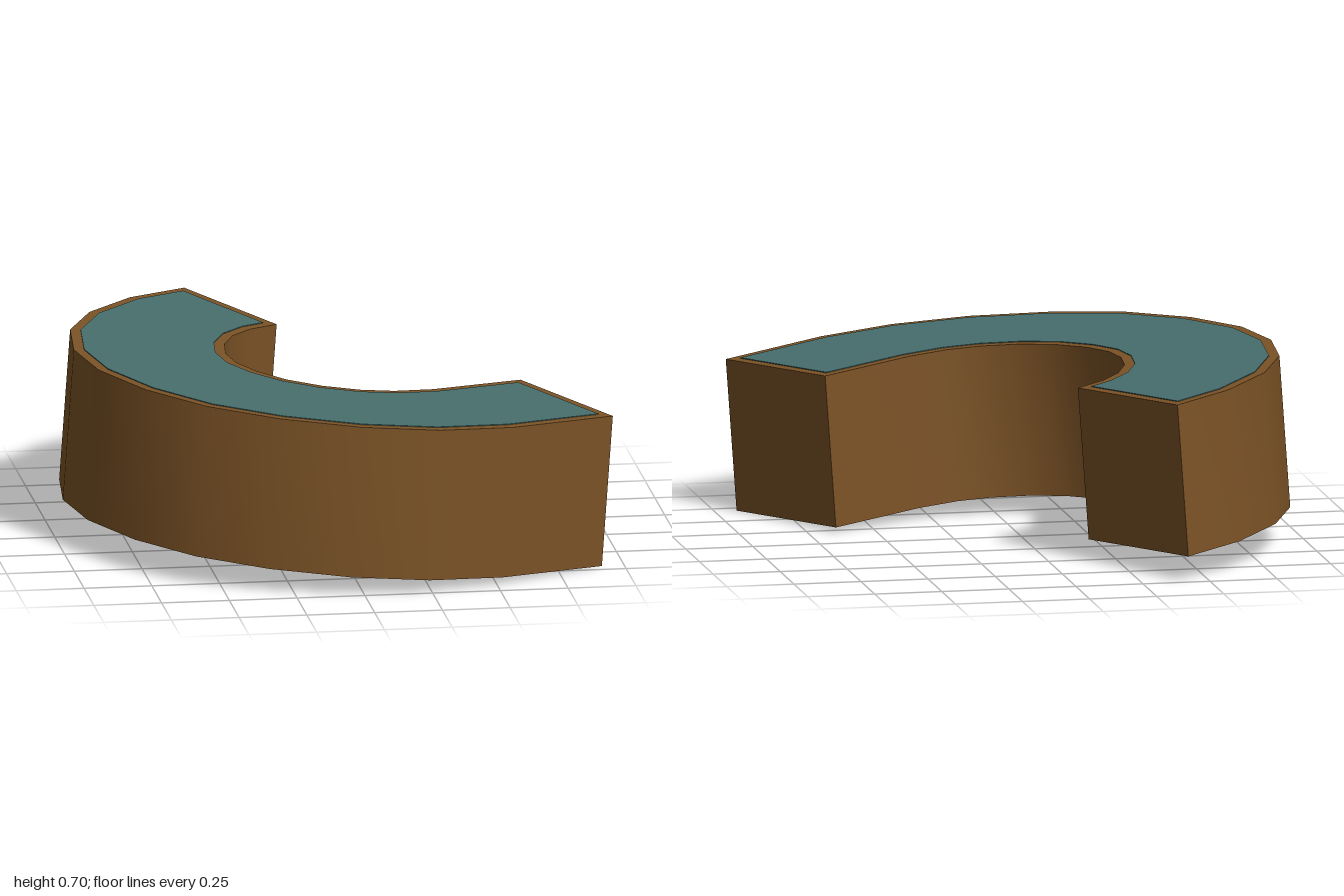
import * as THREE from 'three';
import { toCreasedNormals } from 'three/addons/utils/BufferGeometryUtils.js';

const HEIGHT = 0.566, TILT = 0.0713, RIM = 0.038;

// Plan outline as [x, z]: outer curve, then inner curve back to the start.
const OUTER = [[-0.42, -1], [-0.645, -0.83], [-0.83, -0.59], [-0.94, -0.32], [-0.97, -0.02], [-0.92, 0.27],
  [-0.785, 0.54], [-0.59, 0.76], [-0.34, 0.91], [-0.05, 0.995], [0.24, 1], [0.52, 0.92], [0.92, 0.70]];
const INNER = [[0.65, 0.205], [0.30, 0.39], [0.15, 0.435], [0.025, 0.435], [-0.11, 0.395], [-0.23, 0.32],
  [-0.325, 0.21], [-0.385, 0.09], [-0.405, -0.04], [-0.39, -0.18], [-0.34, -0.31], [-0.26, -0.415], [-0.15, -0.5]];

// Moves every edge of a counter-clockwise outline inward by d.
function inset(points, d) {
  const n = points.length;
  const normal = (a, b) => new THREE.Vector2(a.y - b.y, b.x - a.x).normalize();
  return points.map((p, i) => {
    const n1 = normal(points[(i + n - 1) % n], p);
    const n2 = normal(p, points[(i + 1) % n]);
    const m = n1.clone().add(n2);
    return p.clone().addScaledVector(m, d / (1 + n1.dot(n2)));
  });
}

function slab(name, points, depth, y, material) {
  const flat = new THREE.ExtrudeGeometry(new THREE.Shape(points), { depth, bevelEnabled: false });
  flat.rotateX(-Math.PI / 2);
  const mesh = new THREE.Mesh(toCreasedNormals(flat, 0.6), material);
  mesh.name = name;
  mesh.position.y = y;
  return mesh;
}

export function createModel() {
  const wood = new THREE.MeshStandardMaterial({ name: 'brown wood', color: 0x7c5326 });
  const cloth = new THREE.MeshStandardMaterial({ name: 'teal top', color: 0x476f6d });
  const outline = [...OUTER, ...INNER].map(([x, z]) => new THREE.Vector2(x, -z));

  // Tilted curved block with an inlaid top
  const block = new THREE.Group();
  block.name = 'curvedCounter';
  block.add(slab('body', outline, HEIGHT, 0, wood));
  block.add(slab('topPanel', inset(outline, RIM), 0.004, HEIGHT - 0.001, cloth));
  block.rotation.z = -TILT;
  block.position.y = 0.0656;

  const model = new THREE.Group();
  model.name = 'model';
  model.add(block);
  return model;
}
